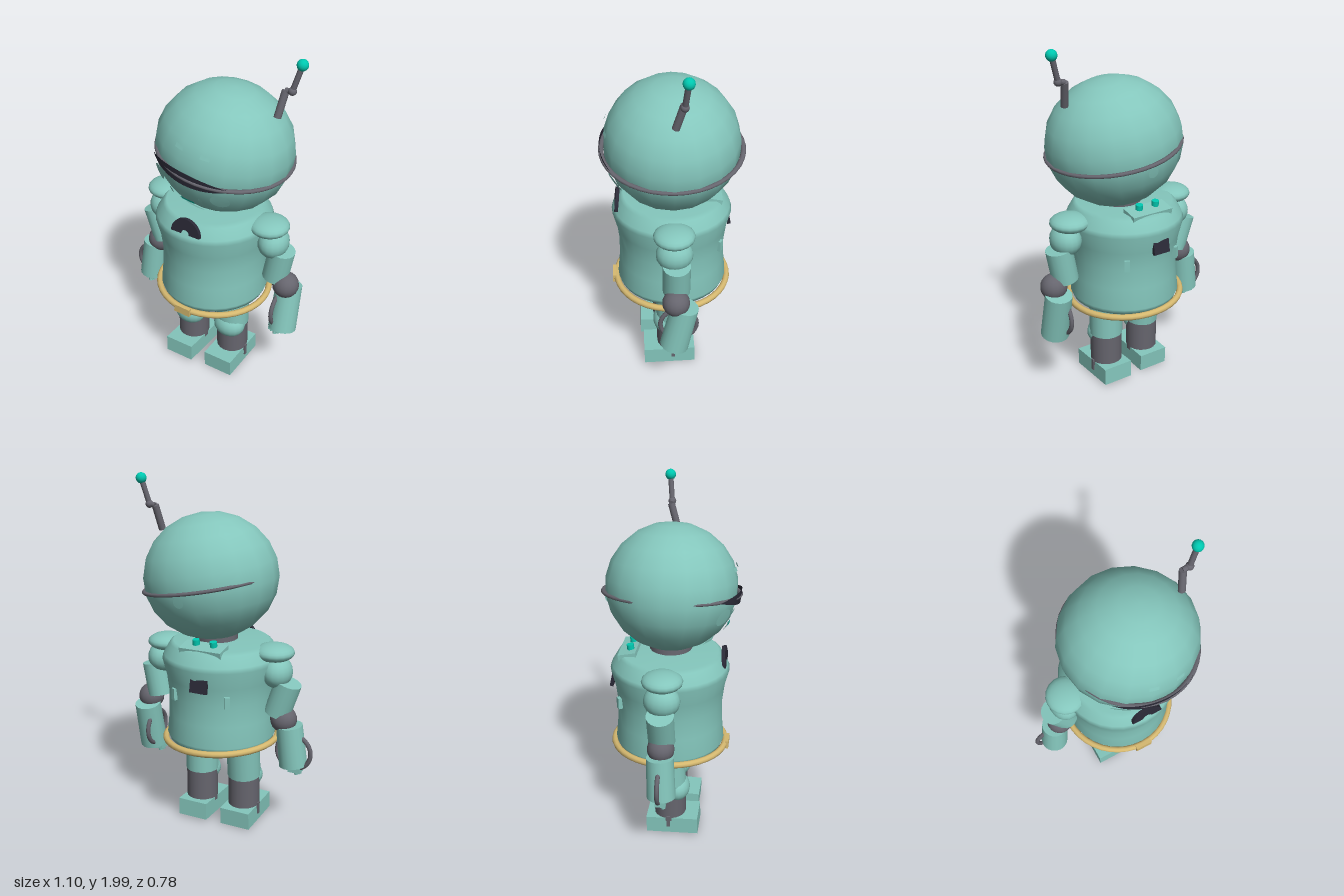
import * as THREE from 'three';

const mat = (name, color, side = THREE.FrontSide) => {
  const m = new THREE.MeshStandardMaterial({ color, side });
  m.name = name;
  return m;
};
const V = (x, y, z) => new THREE.Vector3(x, y, z);

export function createModel() {
  const root = new THREE.Group();
  root.name = 'robot';
  const green = mat('paleGreen', 0x84c6bc, THREE.DoubleSide);
  const gray = mat('jointGray', 0x66656e);
  const dark = mat('darkPanel', 0x2b2a37, THREE.DoubleSide);
  const gold = mat('beltGold', 0xd6b970);
  const teal = mat('brightTeal', 0x00c8b0, THREE.DoubleSide);

  const add = (name, geo, material, pos = [0, 0, 0], rot = [0, 0, 0], scale = [1, 1, 1]) => {
    const m = new THREE.Mesh(geo, material);
    m.name = name;
    m.position.set(...pos);
    m.rotation.set(...rot);
    m.scale.set(...scale);
    root.add(m);
    return m;
  };
  const ball = (name, r, material, pos) =>
    add(name, new THREE.SphereGeometry(1, 18, 12), material, pos, [0, 0, 0], Array.isArray(r) ? r : [r, r, r]);
  // Cylinder running between two points
  const rod = (name, a, b, r, material, r2 = r) => {
    const p = V(...a), q = V(...b), d = q.clone().sub(p);
    const m = add(name, new THREE.CylinderGeometry(r2, r, d.length(), 18), material, p.clone().add(q).multiplyScalar(0.5).toArray());
    m.quaternion.setFromUnitVectors(V(0, 1, 0), d.normalize());
    return m;
  };

  // Head, slightly tilted
  const C = V(0.07, 1.45, 0), R = V(0.38, 0.35, 0.365);
  add('head', new THREE.SphereGeometry(1, 18, 11), green, C.toArray(), [0, 0, -0.17], R.toArray());
  const ring = new THREE.TorusGeometry(0.375, 0.014, 8, 40).rotateX(Math.PI / 2).scale(0.97, 0.7, 1);
  add('headRing', ring, gray, [0.075, 1.42, 0], [0, 0, -0.17]);

  // Flat shape wrapped on to the head at a given place
  const onHead = (name, geo, material, x, y, tilt = 0, back = 1, lift = 0.012) => {
    geo.rotateZ(tilt).translate(x, y, 0);
    const p = geo.attributes.position;
    for (let i = 0; i < p.count; i++) {
      const u = (p.getX(i) - C.x) / R.x, v = (p.getY(i) - C.y) / R.y;
      const z = R.z * Math.sqrt(Math.max(0, 1 - u * u - v * v));
      p.setZ(i, back * (z + lift));
    }
    geo.computeVertexNormals();
    add(name, geo, material);
  };
  const visor = new THREE.PlaneGeometry(0.5, 0.075, 20, 2);
  const vp = visor.attributes.position;
  for (let i = 0; i < vp.count; i++) {
    const t = vp.getX(i) / 0.25;
    vp.setY(i, vp.getY(i) * (1 - t * t));
  }
  onHead('visor', visor, dark, 0.06, 1.422, -0.17, 1, 0.018);
  for (const [x, y] of [[0.02, 1.58], [0.17, 1.555]])
    onHead('browPlate', new THREE.PlaneGeometry(0.05, 0.022, 2, 1), green, x, y, -0.17);
  for (const [x, y] of [[-0.14, 1.37], [0.23, 1.305]])
    onHead('cheekDisc', new THREE.CircleGeometry(0.045, 20), green, x, y);
  for (const [x, y] of [[-0.06, 1.29], [0.13, 1.285]])
    onHead('mouthCorner', new THREE.CircleGeometry(0.028, 14).scale(0.35, 1, 1), green, x, y);
  onHead('mouth', new THREE.PlaneGeometry(0.085, 0.02, 4, 1), teal, 0.04, 1.26, -0.1);
  onHead('chinPlate', new THREE.PlaneGeometry(0.11, 0.025, 4, 1), green, 0.02, 1.165, -0.1);
  onHead('backBolt', new THREE.CircleGeometry(0.03, 16), green, 0.07, 1.375, 0, -1);

  // Antenna with a kink
  const ant = [[0.37, 1.685, -0.005], [0.388, 1.82, -0.045], [0.425, 1.825, -0.045], [0.465, 1.965, -0.06]];
  for (let i = 0; i < 3; i++) rod('antennaRod', ant[i], ant[i + 1], i ? 0.015 : 0.02, gray);
  ball('antennaJoint', 0.022, gray, ant[2]);
  ball('antennaTip', 0.03, teal, ant[3]);

  // Torso
  rod('neck', [0.03, 1.05, 0], [0.04, 1.15, 0], 0.12, gray);
  const profile = [[0, 0.53], [0.3, 0.53], [0.312, 0.56], [0.3, 0.68], [0.298, 0.8], [0.31, 0.9], [0.335, 1.0], [0.325, 1.025], [0.29, 1.085], [0.27, 1.1], [0, 1.105]];
  add('torso', new THREE.LatheGeometry(profile.map(p => new THREE.Vector2(...p)), 32), green, [0.005, 0, 0], [0, 0, 0], [0.99, 1, 1]);
  add('belt', new THREE.TorusGeometry(0.322, 0.018, 10, 40).rotateX(Math.PI / 2), gold, [0.003, 0.53, 0], [0, 0, -0.04]);
  add('beltBuckle', new THREE.BoxGeometry(0.1, 0.046, 0.02), gold, [0.005, 0.53, 0.335], [0, 0, -0.04]);

  // Chest arch
  const arch = new THREE.Shape();
  arch.absarc(0, 0, 0.09, 0, Math.PI, false);
  arch.lineTo(-0.025, 0);
  arch.absarc(0, 0, 0.025, Math.PI, 0, true);
  add('chestArch', new THREE.ExtrudeGeometry(arch, { depth: 0.02, bevelEnabled: false, curveSegments: 14 }), dark, [0.02, 1.036, 0.298], [-0.12, 0, 0]);

  // Back details
  add('backConsole', new THREE.BoxGeometry(0.25, 0.06, 0.1), green, [0, 1.085, -0.22], [-0.2, 0, 0]);
  for (const x of [-0.055, 0.05])
    rod('consoleButton', [x, 1.1, -0.21], [x, 1.145, -0.215], 0.02, teal);
  add('backPanel', new THREE.BoxGeometry(0.1, 0.075, 0.02), dark, [-0.02, 0.92, -0.318], [0.2, 0, 0]);
  for (const s of [-1, 1])
    add('backClip', new THREE.BoxGeometry(0.03, 0.065, 0.025), green, [s * 0.16, 0.83, -0.262], [0, s * -0.55, 0]);

  // Arms: the two are posed differently
  const arms = [
    { side: 'right', pad: [-0.317, 1.065, 0], ball: [-0.335, 0.955, 0], up: [[-0.405, 0.905, 0], [-0.34, 0.715, 0]], elbow: [-0.38, 0.685, 0],
      fore: [[-0.415, 0.655, 0], [-0.44, 0.42, 0.01]], ring: [-0.445, 0.5, 0], turn: 0, hand: [-0.455, 0.4, 0.01] },
    { side: 'left', pad: [0.355, 1.04, 0], ball: [0.385, 0.945, 0], up: [[0.435, 0.905, -0.01], [0.4, 0.715, -0.01]], elbow: [0.47, 0.685, -0.005],
      fore: [[0.468, 0.655, -0.055], [0.468, 0.385, 0.005]], ring: [0.43, 0.5, -0.02], turn: Math.PI / 2, hand: [0.43, 0.375, 0.005] },
  ];
  for (const a of arms) {
    ball(a.side + 'ShoulderPad', [0.112, 0.05, 0.112], green, a.pad);
    ball(a.side + 'Shoulder', [0.085, 0.09, 0.1], green, a.ball);
    rod(a.side + 'UpperArm', a.up[0], a.up[1], 0.075, green);
    ball(a.side + 'Elbow', 0.075, gray, a.elbow);
    rod(a.side + 'Forearm', a.fore[0], a.fore[1], 0.075, green, 0.08);
    add(a.side + 'ForearmRing', new THREE.TorusGeometry(0.1, 0.013, 8, 28), gray, a.ring, [0, a.turn, 0]);
    const [hx, hy, hz] = a.hand;
    add(a.side + 'Palm', new THREE.BoxGeometry(0.07, 0.04, 0.06), green, [hx, hy, hz]);
    for (const i of [-1, 0, 1])
      rod(a.side + 'Finger', [hx + i * 0.022, hy, hz + 0.01], [hx + i * 0.018, hy - 0.045 + Math.abs(i) * 0.012, hz + 0.015], 0.012, green);
  }

  // Legs
  for (const s of [-1, 1]) {
    const x = s * 0.132, z = s < 0 ? 0.02 : 0;
    const part = n => (s < 0 ? 'right' : 'left') + n;
    rod(part('Hip'), [x, 0.48, 0], [x, 0.54, 0], 0.09, gray);
    rod(part('Thigh'), [x, 0.29, z], [x, 0.5, 0], 0.096, green);
    ball(part('Knee'), [0.097, 0.08, 0.08], green, [x, 0.28, z + 0.035]);
    rod(part('Shin'), [x, 0.09, z], [x, 0.29, z], 0.092, gray);
    add(part('Foot'), new THREE.BoxGeometry(0.18, 0.1, 0.3), green, [x, 0.062, z + 0.02], [s * 0.035, 0, 0]);
    add(part('AnkleBar'), new THREE.BoxGeometry(0.012, 0.07, 0.02), gray, [x + s * 0.092, 0.09, z]);
  }
  return root;
}
